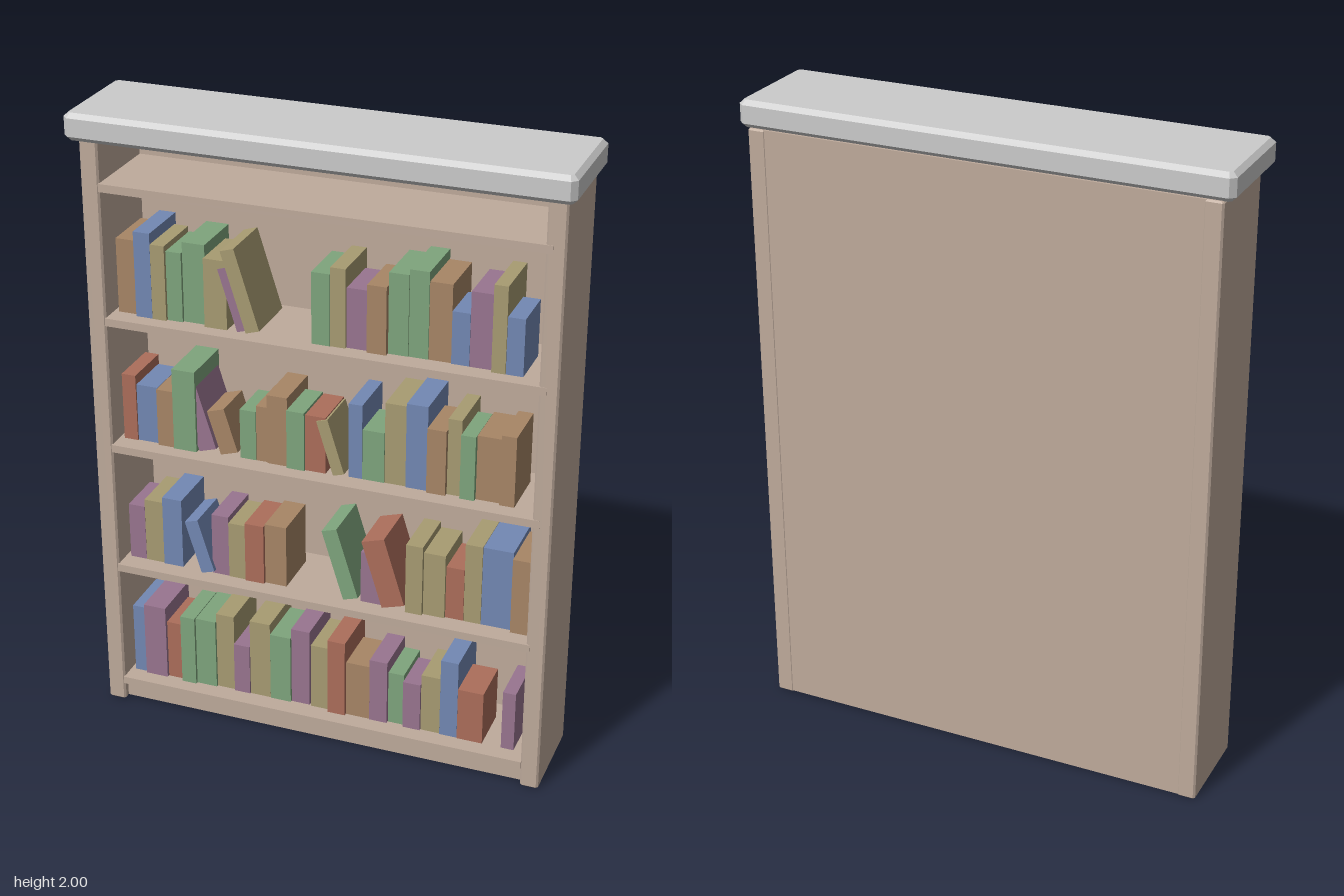
import * as THREE from 'three';

const mat = (color) => new THREE.MeshStandardMaterial({ color, flatShading: true });
const wood = mat(0xbfab9c);
const grey = mat(0xcccccc);
const covers = {
  R: mat(0xac6e5b), B: mat(0x7388b4), G: mat(0x7fa57d),
  O: mat(0xa89c72), P: mat(0x997590), N: mat(0xa88666),
};

// Small seeded generator for book sizes
let seed = 7;
const random = () => (seed = (seed * 16807) % 2147483647) / 2147483647;

// Box given by its limits
function box(name, material, x0, x1, y0, y1, z0, z1) {
  const mesh = new THREE.Mesh(new THREE.BoxGeometry(x1 - x0, y1 - y0, z1 - z0), material);
  mesh.position.set((x0 + x1) / 2, (y0 + y1) / 2, (z0 + z1) / 2);
  mesh.name = name;
  return mesh;
}

// Box with all edges chamfered by c
function chamferBox(name, material, x0, x1, y0, y1, z0, z1, c) {
  const w = (x1 - x0) / 2 - c, d = (z1 - z0) / 2 - c, h = y1 - y0 - 2 * c, k = c * 0.6;
  const outline = new THREE.Shape([
    [-w + k, -d], [w - k, -d], [w, -d + k], [w, d - k],
    [w - k, d], [-w + k, d], [-w, d - k], [-w, -d + k],
  ].map(([x, z]) => new THREE.Vector2(x, z)));
  const geo = new THREE.ExtrudeGeometry(outline, {
    depth: h, bevelEnabled: true, bevelThickness: c, bevelSize: c, bevelSegments: 1,
  });
  geo.translate(0, 0, -h / 2).rotateX(-Math.PI / 2);
  const mesh = new THREE.Mesh(geo, material);
  mesh.position.set((x0 + x1) / 2, (y0 + y1) / 2, (z0 + z1) / 2);
  mesh.name = name;
  return mesh;
}

// One book on a shelf, pivoting on its lower left edge
function book(name, x, floor, width, height, tilt, cover) {
  const depth = 0.09 + 0.36 * height;
  const geo = new THREE.BoxGeometry(width, height, depth);
  geo.translate(width / 2, height / 2, -depth / 2);
  const mesh = new THREE.Mesh(geo, covers[cover]);
  mesh.position.set(x, floor, 0.09 - 0.02 * random());
  mesh.rotation.z = tilt;
  mesh.name = name;
  return mesh;
}

// Upright books filling a run from x0 to x1, one per cover
function addRun(row, floor, x0, x1, order) {
  const widths = [...order].map(() => 0.7 + 0.6 * random());
  const total = widths.reduce((a, b) => a + b);
  let x = x0;
  widths.forEach((share, i) => {
    const w = (share / total) * (x1 - x0);
    row.add(book('book', x, floor, w - 0.001, 0.16 + 0.12 * random(), 0, order[i]));
    x += w;
  });
}

// Each shelf: runs [from, to, covers] and leaning books [x, width, height, cover]
const rows = [
  {
    runs: [[-0.653, -0.045, 'BPRGGOPOGP'], [-0.04, 0.53, 'ORNPGPOBR'], [0.59, 0.632, 'P']],
    leaning: [],
  },
  {
    runs: [[-0.653, -0.468, 'POB'], [-0.368, -0.119, 'PORN'], [0.124, 0.193, 'P'], [0.272, 0.664, 'OOROBN']],
    leaning: [[-0.4, 0.045, 0.18, 'B'], [0.071, 0.05, 0.238, 'G'], [0.198, 0.075, 0.228, 'R']],
  },
  {
    runs: [[-0.653, -0.405, 'RBNG'], [-0.267, 0.013, 'GNNGR'], [0.082, 0.6, 'BGOBNOGNN']],
    leaning: [[-0.4, 0.058, 0.222, 'P'], [-0.33, 0.058, 0.145, 'N'], [0.037, 0.037, 0.18, 'O']],
  },
  {
    runs: [[-0.653, -0.294, 'NBOGGO'], [-0.029, 0.611, 'GOPNGGNBPOB']],
    leaning: [[-0.262, 0.03, 0.2, 'P'], [-0.235, 0.045, 0.26, 'O']],
  },
];

export function createModel() {
  seed = 7;
  const model = new THREE.Group();
  model.name = 'bookcase';

  // Carcass
  model.add(chamferBox('cap', grey, -0.755, 0.755, 1.917, 2, -0.175, 0.175, 0.014));
  for (const s of [-1, 1]) {
    const x = s * 0.697;
    model.add(chamferBox('sidePanel', wood, x - 0.029, x + 0.029, 0, 1.918, -0.172, 0.133, 0.005));
  }
  model.add(box('backPanel', wood, -0.675, 0.675, 0.005, 1.918, -0.17, -0.145));
  model.add(box('plinth', wood, -0.675, 0.675, 0.005, 0.064, -0.165, 0.11));

  // Five shelves, the upper ones with ends let into the left upright
  for (let i = 0; i < 5; i++) {
    const top = 0.088 + 0.424 * i;
    const end = Math.min(0.67 + 0.01 * i, 0.69);
    model.add(box('shelf', wood, -0.67, end, top - 0.025, top, -0.16, 0.135));
  }

  // Books
  rows.forEach(({ runs, leaning }, i) => {
    const floor = 0.088 + 0.424 * i;
    const row = new THREE.Group();
    row.name = 'bookRow';
    runs.forEach(([x0, x1, order]) => addRun(row, floor, x0, x1, order));
    leaning.forEach(([x, w, h, cover]) => row.add(book('leaningBook', x, floor, w, h, 0.3, cover)));
    model.add(row);
  });
  return model;
}
